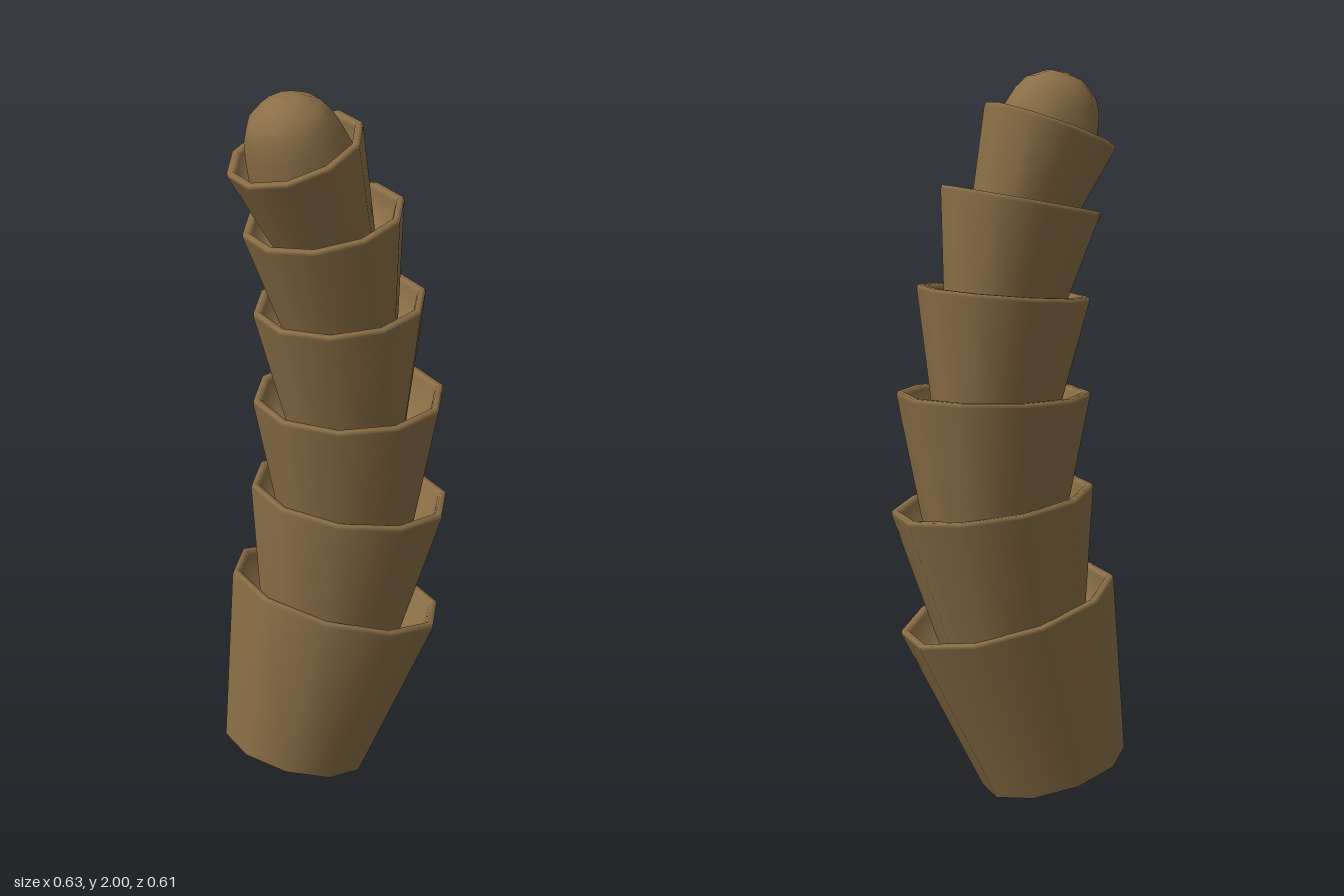
import * as THREE from 'three';

const SIDES = 10;
const material = new THREE.MeshStandardMaterial({ color: 0x8b6f47, side: THREE.DoubleSide });

const lathe = (points) =>
  new THREE.LatheGeometry(points.map(([r, y]) => new THREE.Vector2(r, y)), SIDES);

// Tapered hollow cup, origin at the centre of its rim, axis along y
function makeCup(name, rim, length) {
  const cup = new THREE.Group();
  cup.name = name;
  const base = rim * 0.675;
  const slope = (rim - base) / length;
  const wall = 0.026;
  const depth = length * 0.3;
  const shell = new THREE.Mesh(lathe([
    [base, -length],
    [rim - 0.012 * slope, -0.012],
    [rim - 0.004, 0],
    [rim - wall + 0.006, 0],
    [rim - wall, -0.012],
    [rim - wall - depth * slope, -depth],
    [0, -depth],
  ]), material);
  shell.name = name + 'Shell';

  // Flat underside with a crisp edge
  const disc = new THREE.CircleGeometry(base, SIDES, Math.PI / 2);
  disc.rotateX(Math.PI / 2);
  const underside = new THREE.Mesh(disc, material);
  underside.name = name + 'Underside';
  underside.position.y = -length;
  cup.add(shell, underside);
  return cup;
}

export function createModel() {
  const model = new THREE.Group();
  model.name = 'segmentedStalk';

  // Stacked cups: rim centre x, y, tilt in degrees, rim radius, length
  const cups = [
    [0.008, 0.54, -16.2, 0.307, 0.5],
    [0.05, 0.84, -8.4, 0.282, 0.46],
    [0.045, 1.133, 0, 0.267, 0.44],
    [0.016, 1.408, 4.4, 0.238, 0.39],
    [-0.034, 1.657, 10.3, 0.221, 0.36],
    [-0.119, 1.855, 19.8, 0.189, 0.31],
  ];
  cups.forEach(([x, y, tilt, rim, length], i) => {
    const cup = makeCup('cup' + (i + 1), rim, length);
    cup.position.set(x, y, 0);
    cup.rotation.z = THREE.MathUtils.degToRad(tilt);
    model.add(cup);
  });

  // Rounded bud in the top cup
  const bud = new THREE.Mesh(lathe([
    [0.148, -0.1], [0.142, -0.04], [0.132, 0.015], [0.12, 0.065],
    [0.1, 0.103], [0.055, 0.136], [0, 0.147],
  ]), material);
  bud.name = 'bud';
  bud.position.set(-0.115, 1.855, 0);
  bud.rotation.z = THREE.MathUtils.degToRad(20);
  model.add(bud);

  return model;
}
